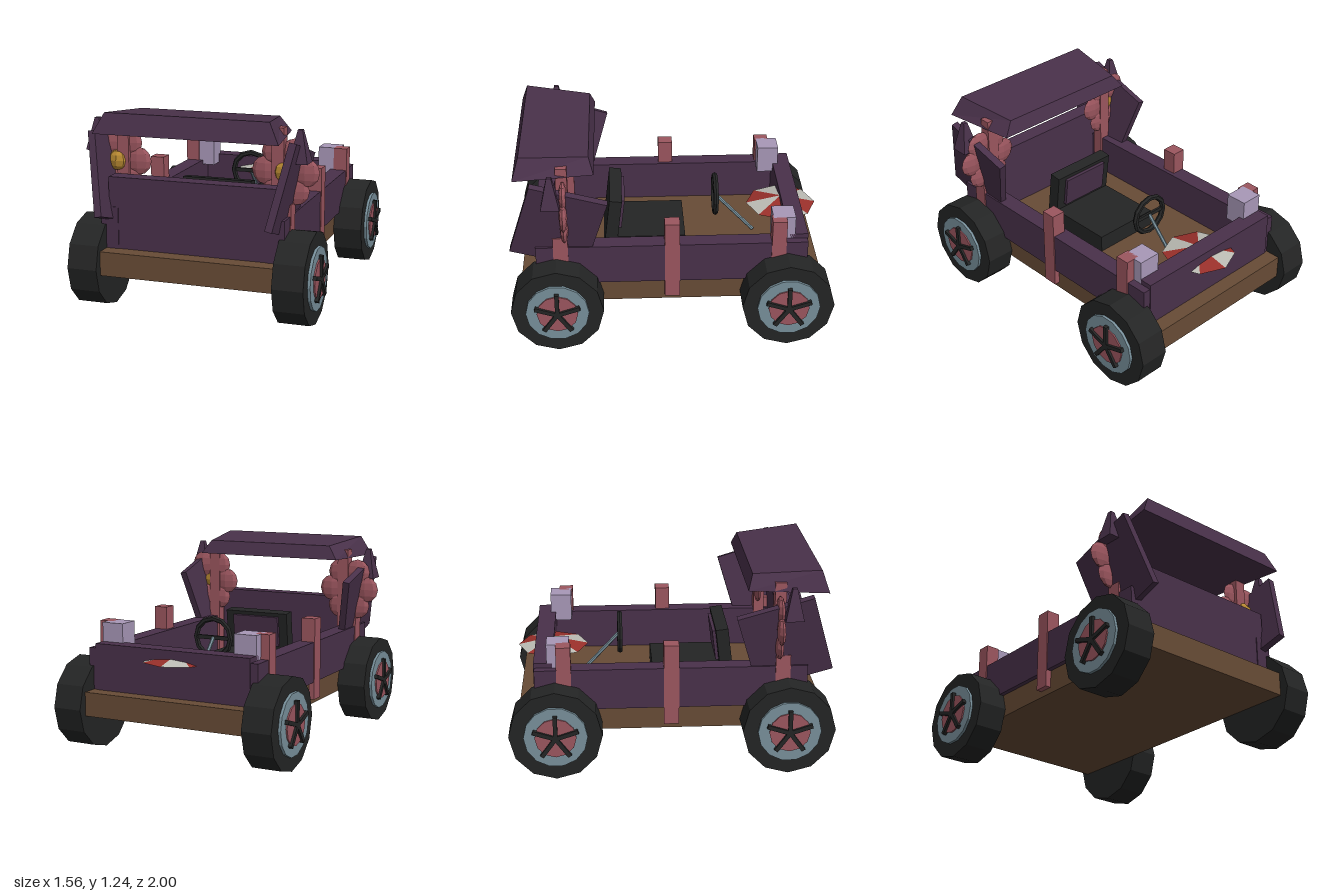
import * as THREE from 'three';

const mat = (name, color, side = THREE.FrontSide) =>
  new THREE.MeshStandardMaterial({ name, color, side, flatShading: true });

export function createModel() {
  const model = new THREE.Group();
  model.name = 'buggy';
  const purple = mat('plumPaint', 0x49314a);
  const brown = mat('brownWood', 0x684c36);
  const rose = mat('rosePaint', 0x9c565f);
  const black = mat('blackRubber', 0x242525);
  const steel = mat('blueSteel', 0x78909b);
  const lavender = mat('lavender', 0xa898b8);
  const gold = mat('gold', 0xb98a32);
  const red = mat('canopyRed', 0x9a302b, THREE.DoubleSide);
  const white = mat('canopyWhite', 0xbdbdb5, THREE.DoubleSide);

  const add = (name, geo, material, x = 0, y = 0, z = 0, parent = model) => {
    const m = new THREE.Mesh(geo, material);
    m.name = name;
    m.position.set(x, y, z);
    parent.add(m);
    return m;
  };
  // Box given by its limits on each axis
  const box = (name, material, x0, x1, y0, y1, z0, z1) =>
    add(name, new THREE.BoxGeometry(Math.abs(x1 - x0), y1 - y0, z1 - z0), material,
      (x0 + x1) / 2, (y0 + y1) / 2, (z0 + z1) / 2);

  // Chassis and end panels
  box('chassis', brown, -0.55, 0.55, 0.24, 0.39, -0.94, 0.94);
  box('frontPanel', purple, -0.53, 0.53, 0.39, 0.835, 0.73, 0.835);
  box('backPanel', purple, -0.53, 0.53, 0.39, 0.68, -0.845, -0.73);

  // Roof: a box with sloping sides and a tilted top
  const roofGeo = new THREE.BoxGeometry(2, 2, 2);
  const p = roofGeo.attributes.position;
  for (let i = 0; i < p.count; i++) {
    const top = p.getY(i) > 0, front = p.getZ(i) > 0;
    const x = (front ? 0.575 : 0.51) - (top ? 0.065 : 0);
    const y = top ? (front ? 1.24 : 1.205) : 1.115;
    const z = front ? (top ? 0.915 : 0.955) : (top ? 0.5 : 0.47);
    p.setXYZ(i, Math.sign(p.getX(i)) * x, y, z);
  }
  roofGeo.computeVertexNormals();
  add('roof', roofGeo, purple);

  // Wheel with rim, hub disc and five spokes
  const wheel = (s, z) => {
    const g = new THREE.Group();
    g.name = 'wheel';
    g.position.set(0, 0.286, z);
    model.add(g);
    const disc = (name, r, x0, x1, sides, material) => {
      const geo = new THREE.CylinderGeometry(r, r, x1 - x0, sides).rotateZ(Math.PI / 2);
      add(name, geo, material, s * (x0 + x1) / 2, 0, 0, g);
    };
    disc('tyre', 0.286, 0.55, 0.74, 12, black);
    disc('rim', 0.195, 0.7, 0.757, 14, steel);
    disc('hubDisc', 0.127, 0.74, 0.766, 12, rose);
    for (let k = 0; k < 5; k++) {
      const geo = new THREE.BoxGeometry(0.03, 0.145, 0.026).translate(0, 0.0725, 0);
      add('spoke', geo, black, s * 0.766, 0, 0, g).rotation.x = k * Math.PI * 2 / 5;
    }
  };

  for (const s of [1, -1]) {
    wheel(s, 0.714);
    wheel(s, -0.714);
    box('sideWall', purple, s * 0.47, s * 0.58, 0.39, 0.65, -0.84, 0.84);

    // Posts and rear lamps
    box('middlePost', rose, s * 0.495, s * 0.586, 0.28, 0.8, -0.047, 0.047);
    box('rearPost', rose, s * 0.495, s * 0.586, 0.3, 0.8, -0.705, -0.615);
    box('frontPost', rose, s * 0.495, s * 0.586, 0.3, 0.72, 0.64, 0.732);
    box('roofPost', rose, s * 0.455, s * 0.53, 0.39, 1.17, 0.63, 0.7);
    box('rearLamp', lavender, s * 0.385, s * 0.53, 0.62, 0.8, -0.763, -0.625);

    // Leaning side shield
    const up = new THREE.Vector3(s * 0.1, 0.5, -0.15).normalize();
    const fwd = new THREE.Vector3(s * 0.015, 0.14, 0.46);
    const out = new THREE.Vector3().crossVectors(up, fwd).normalize();
    fwd.crossVectors(out, up);
    const shield = add('sideShield', new THREE.BoxGeometry(0.045, 0.525, 0.48), purple,
      s * 0.572, 0.8, 0.695);
    shield.quaternion.setFromRotationMatrix(new THREE.Matrix4().makeBasis(out, up, fwd));
    add('shieldSpike', new THREE.CylinderGeometry(0.02, 0.08, 0.195, 4).rotateY(Math.PI / 4),
      purple, s * 0.64, 1.077, 0.73);

    // Flower ornament
    for (let k = 0; k < 6; k++) {
      const a = k * Math.PI / 3;
      const petal = new THREE.SphereGeometry(0.088, 8, 6).scale(1, 1, 0.3);
      add('petal', petal, rose, s * 0.53 + Math.cos(a) * 0.12, 0.905 + Math.sin(a) * 0.13, 0.657);
    }
    add('flowerCentre', new THREE.SphereGeometry(0.066, 8, 6).scale(1, 1, 0.7), gold,
      s * 0.53, 0.907, 0.68);
  }

  // Seat
  box('seatCushion', black, -0.225, 0.225, 0.39, 0.5, -0.1, 0.37);
  add('seatBack', new THREE.BoxGeometry(0.45, 0.36, 0.08), black, 0, 0.58, 0.365).rotation.x = -0.12;
  add('seatPad', new THREE.BoxGeometry(0.33, 0.2, 0.02), purple, 0, 0.63, 0.308).rotation.x = -0.12;

  // Steering wheel and column
  add('steeringWheel', new THREE.TorusGeometry(0.122, 0.018, 6, 12), black, 0, 0.675, -0.305);
  add('steeringBar', new THREE.BoxGeometry(0.23, 0.025, 0.015), black, 0, 0.675, -0.305);
  const a = new THREE.Vector3(0, 0.675, -0.305), b = new THREE.Vector3(0, 0.4, -0.56);
  const column = add('steeringColumn', new THREE.CylinderGeometry(0.012, 0.012, a.distanceTo(b), 6), steel);
  column.position.lerpVectors(a, b, 0.5);
  column.quaternion.setFromUnitVectors(new THREE.Vector3(0, 1, 0), a.clone().sub(b).normalize());

  // Striped parasol of eight wedges
  for (let k = 0; k < 8; k++) {
    add('parasolWedge', new THREE.ConeGeometry(0.226, 0.05, 1, 1, true, k * Math.PI / 4, Math.PI / 4),
      k % 2 ? red : white, 0, 0.626, -0.738);
  }
  return model;
}
